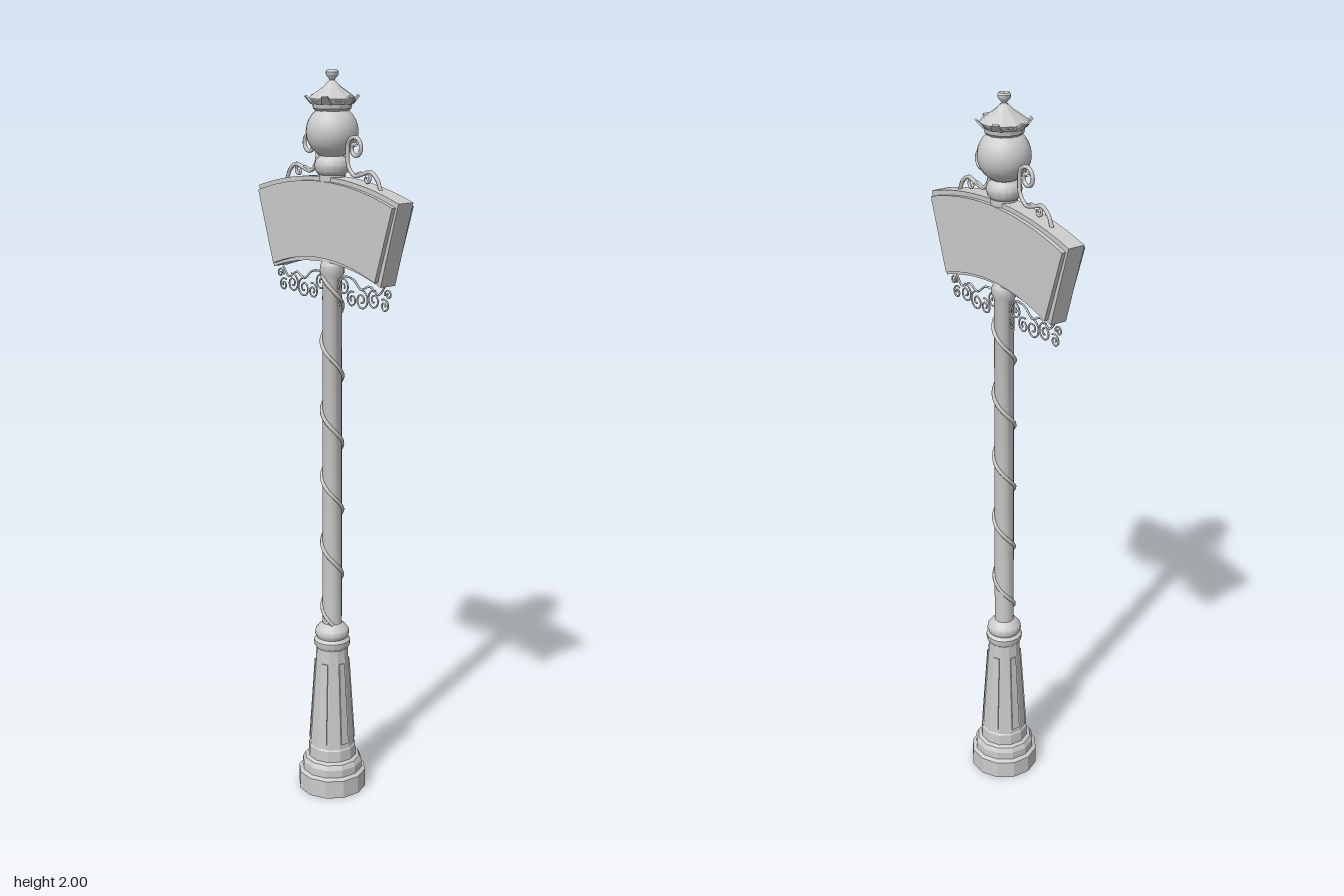
import * as THREE from 'three';
import { toCreasedNormals } from 'three/addons/utils/BufferGeometryUtils.js';

const material = new THREE.MeshStandardMaterial({ color: 0xcccccc, side: THREE.DoubleSide });

function add(parent, name, geometry, crease = 0.6) {
  const mesh = new THREE.Mesh(crease ? toCreasedNormals(geometry, crease) : geometry, material);
  mesh.name = name;
  parent.add(mesh);
  return mesh;
}

// Turned part from [radius, height] pairs
function lathe(parent, name, pairs, sides, crease = 0.6) {
  const points = pairs.map(([r, y]) => new THREE.Vector2(r, y));
  return add(parent, name, new THREE.LatheGeometry(points, sides), crease);
}

// Sign outline: flared sides with arched top and bottom, shrunk by an inset
function signOutline(inset) {
  const top = 0.291 - inset, bottom = 0.226 - inset;
  const shape = new THREE.Shape();
  shape.moveTo(-bottom, 1.476 + inset);
  shape.quadraticCurveTo(0, 1.552 + inset, bottom, 1.476 + inset);
  shape.lineTo(top, 1.69 - inset);
  shape.quadraticCurveTo(0, 1.777 - inset, -top, 1.69 - inset);
  shape.closePath();
  return shape;
}

function slab(parent, name, shape, depth) {
  const geometry = new THREE.ExtrudeGeometry(shape, { depth, bevelEnabled: false, curveSegments: 20 });
  geometry.translate(0, 0, -depth / 2);
  return add(parent, name, geometry);
}

// Points of a flat spiral winding inwards from radius r0 to r1
function spiral(cx, cy, r0, r1, start, sweep, steps = 16) {
  return Array.from({ length: steps + 1 }, (_, i) => {
    const t = i / steps, a = start + sweep * t, r = r0 + (r1 - r0) * t;
    return new THREE.Vector3(cx + r * Math.cos(a), cy + r * Math.sin(a), 0);
  });
}

const flat = pairs => pairs.map(([x, y]) => new THREE.Vector3(x, y, 0));

function wire(parent, name, points, radius, segments = 48, sides = 6) {
  const curve = new THREE.CatmullRomCurve3(points);
  return add(parent, name, new THREE.TubeGeometry(curve, segments, radius, sides), 0);
}

// Ironwork on the right half, repeated on the left by half turn
function ironwork(side) {
  const group = new THREE.Group();
  group.name = side > 0 ? 'leftIronwork' : 'rightIronwork';
  group.rotation.y = side > 0 ? 0 : Math.PI;

  // Bracket scroll above the sign
  wire(group, 'upperScroll', [
    ...flat([[0.196, 1.708], [0.182, 1.737], [0.155, 1.755], [0.125, 1.748], [0.09, 1.742], [0.066, 1.765]]),
    ...spiral(0.094, 1.81, 0.032, 0.008, Math.PI * 1.05, -Math.PI * 2.7, 22)
  ], 0.0055, 80);
  wire(group, 'upperCurl', [
    ...flat([[0.09, 1.742], [0.115, 1.75]]),
    ...spiral(0.142, 1.738, 0.016, 0.005, Math.PI * 0.8, -Math.PI * 2, 12)
  ], 0.004, 40);

  // Fine scrolls below the sign
  wire(group, 'lowerStem', flat([
    [0.022, 1.44], [0.045, 1.478], [0.085, 1.478], [0.12, 1.455],
    [0.155, 1.467], [0.19, 1.45], [0.215, 1.475]
  ]), 0.003, 40, 5);
  const scrolls = [ // x, y, radius, start angle, sweep
    [0.047, 1.452, 0.024, 2.6, -9.5],
    [0.083, 1.424, 0.022, 1.2, 9.5],
    [0.122, 1.427, 0.028, 1.8, -10],
    [0.172, 1.434, 0.026, 1.3, 10],
    [0.213, 1.425, 0.018, 2.2, -9],
    [0.228, 1.455, 0.014, 3.4, -8],
    [0.032, 1.412, 0.014, 2.0, 8]
  ];
  for (const [x, y, r, start, sweep] of scrolls) {
    wire(group, 'lowerScroll', spiral(x, y, r, r * 0.2, start, sweep, 20), 0.0025, 44, 5);
  }
  return group;
}

export function createModel() {
  const model = new THREE.Group();
  model.name = 'streetLampSign';

  // Plinth and tapered pedestal
  lathe(model, 'plinth', [
    [0, 0], [0.096, 0], [0.096, 0.052], [0.085, 0.058], [0.085, 0.08], [0.078, 0.093], [0.068, 0.098], [0, 0.1]
  ], 12, 0.4);
  lathe(model, 'pedestal', [
    [0.068, 0.096], [0.067, 0.13], [0.064, 0.134], [0.046, 0.4], [0.045, 0.43]
  ], 12, 0.4);
  lathe(model, 'pedestalCollar', [
    [0.043, 0.425], [0.05, 0.435], [0.051, 0.45], [0.043, 0.458], [0.048, 0.468],
    [0.047, 0.48], [0.038, 0.492], [0.027, 0.5]
  ], 16);

  // Raised panels on alternate faces of the pedestal
  for (let i = 0; i < 6; i++) {
    const pivot = new THREE.Group();
    pivot.name = 'pedestalPanel';
    pivot.rotation.y = (i + 0.25) * Math.PI / 3;
    const panel = new THREE.Shape(flat([[-0.012, -0.12], [0.012, -0.12], [0.0085, 0.12], [-0.0085, 0.12]])
      .map(p => new THREE.Vector2(p.x, p.y)));
    const mesh = slab(pivot, 'panelFace', panel, 0.006);
    mesh.position.set(0, 0.268, 0.0535);
    mesh.rotation.x = -0.0655;
    model.add(pivot);
  }

  // Pole with a vine wound around it
  lathe(model, 'pole', [[0.027, 0.49], [0.026, 1.47], [0.032, 1.482], [0.032, 1.505], [0.026, 1.515], [0.026, 1.75]], 16);
  const vine = [];
  for (let y = 1.5; y > 0.49; y -= 0.0125) {
    const a = (1.275 - y) / 0.188 * Math.PI * 2;
    vine.push(new THREE.Vector3(0.028 * Math.sin(a), y, 0.028 * Math.cos(a)));
  }
  wire(model, 'spiralVine', vine, 0.0055, 240, 6);

  // Arched two-faced sign, turned slightly about the pole
  const sign = new THREE.Group();
  sign.name = 'sign';
  sign.rotation.y = -0.205;
  slab(sign, 'signFrame', signOutline(0), 0.048);
  slab(sign, 'signFaces', signOutline(0.011), 0.07);
  sign.add(ironwork(1), ironwork(-1));
  model.add(sign);

  // Lamp neck and globe
  lathe(model, 'lampNeck', [
    [0.034, 1.72], [0.034, 1.738], [0.042, 1.746], [0.046, 1.762], [0.042, 1.776], [0.03, 1.786], [0.036, 1.796]
  ], 16);
  const globe = add(model, 'globe', new THREE.SphereGeometry(0.068, 20, 14), 0);
  globe.position.y = 1.847;

  // Crown, roof and finial
  lathe(model, 'crownRing', [[0.042, 1.897], [0.05, 1.905], [0.052, 1.916], [0.06, 1.924], [0.058, 1.932]], 12, 0.4);
  lathe(model, 'roof', [
    [0, 1.92], [0.058, 1.92], [0.063, 1.93], [0.045, 1.944], [0.024, 1.958], [0.01, 1.972]
  ], 10, 0.3);
  for (let i = 0; i < 6; i++) {
    const pivot = new THREE.Group();
    pivot.name = 'crownLeaf';
    pivot.rotation.y = (i + 0.4) * Math.PI / 3;
    const leaf = new THREE.Shape([
      new THREE.Vector2(-0.014, -0.012), new THREE.Vector2(0.014, -0.012),
      new THREE.Vector2(0.008, 0.014), new THREE.Vector2(-0.008, 0.014)
    ]);
    const mesh = slab(pivot, 'leafBlade', leaf, 0.005);
    mesh.position.set(0, 1.926, 0.06);
    mesh.rotation.x = 0.75;
    model.add(pivot);
  }
  lathe(model, 'finial', [
    [0.01, 1.968], [0.007, 1.975], [0.009, 1.979], [0.016, 1.987], [0.017, 1.995], [0.013, 2], [0.01, 1.996], [0, 1.994]
  ], 12);

  return model;
}
